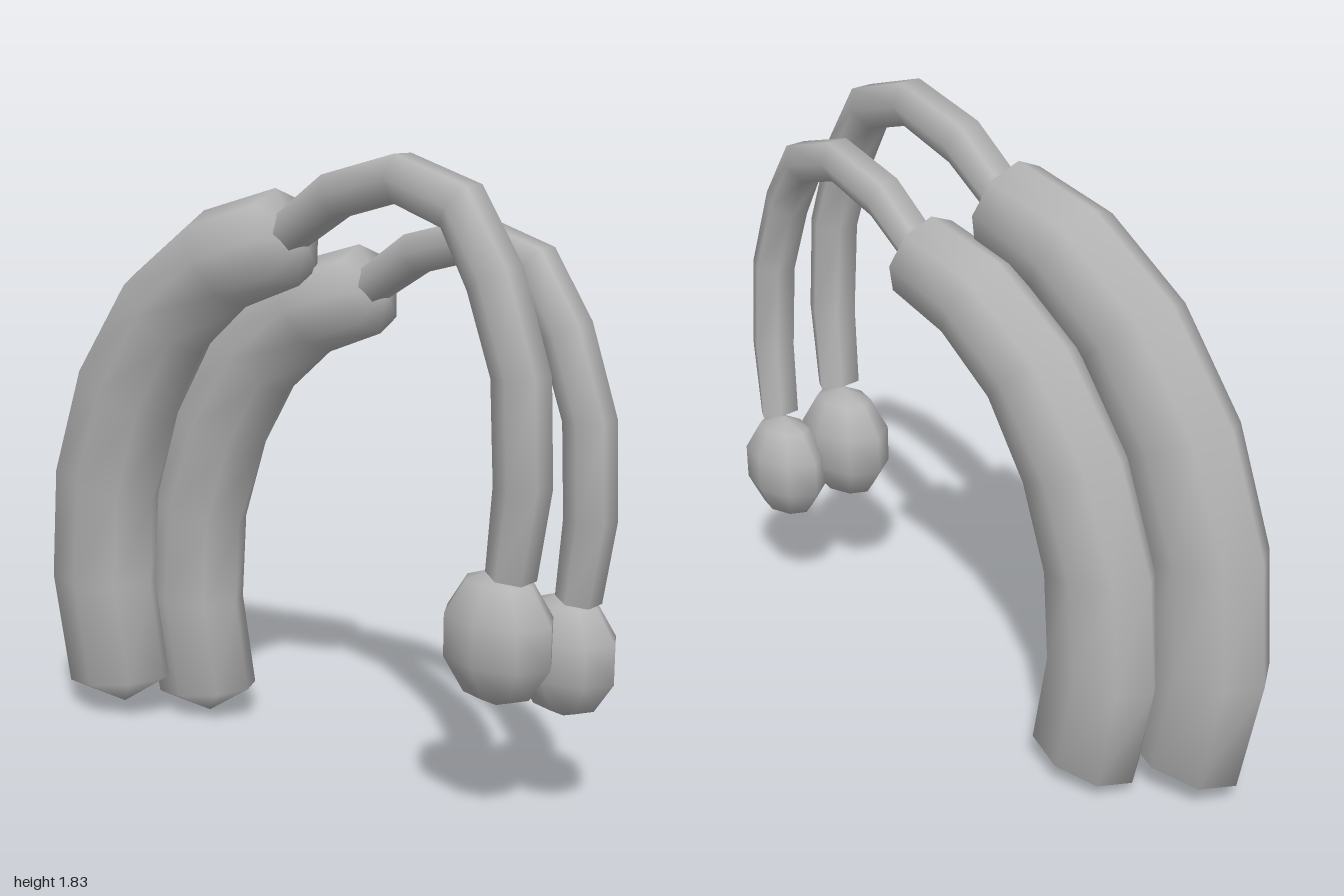
import * as THREE from 'three';
import { toCreasedNormals } from 'three/addons/utils/BufferGeometryUtils.js';

// Skin a row of cross-sections. Each ring: [outerZ, outerY, innerZ, innerY, x, halfWidth].
// Caps are fans to the points start and end, given as [x, y, z].
function loft(rings, sides, start, end) {
  const pos = [], index = [];
  const stretch = 1 / Math.sin(Math.round(sides / 4) * 2 * Math.PI / sides);
  for (const [oz, oy, iz, iy, x, half] of rings) {
    for (let j = 0; j < sides; j++) {
      const a = (j / sides) * Math.PI * 2;
      const s = Math.sin(a) * stretch / 2;
      pos.push(x + Math.cos(a) * half, (oy + iy) / 2 + s * (oy - iy), (oz + iz) / 2 + s * (oz - iz));
    }
  }
  const last = (rings.length - 1) * sides;
  const first = rings.length * sides;
  pos.push(...start, ...end);
  for (let j = 0; j < sides; j++) {
    const k = (j + 1) % sides;
    for (let b = 0; b < last; b += sides) {
      index.push(b + j, b + sides + j, b + k, b + k, b + sides + j, b + sides + k);
    }
    index.push(first, j, k, first + 1, last + k, last + j);
  }
  const geo = new THREE.BufferGeometry();
  geo.setAttribute('position', new THREE.Float32BufferAttribute(pos, 3));
  geo.setIndex(index);
  geo.computeVertexNormals();
  return geo;
}

export function createModel() {
  const grey = new THREE.MeshStandardMaterial({ color: 0xb4b4b4 });
  grey.name = 'grey plastic';

  // Curved casing, from its front end down to the bottom
  const casing = loft([
    [0.10, 1.56, 0.18, 1.31, 0.11, 0.125],
    [-0.15, 1.49, 0.0, 1.24, 0.10, 0.13],
    [-0.40, 1.31, -0.16, 1.10, 0.09, 0.13],
    [-0.60, 1.04, -0.28, 0.89, 0.085, 0.13],
    [-0.72, 0.72, -0.36, 0.65, 0.085, 0.13],
    [-0.755, 0.38, -0.38, 0.39, 0.09, 0.13],
    [-0.70, 0.05, -0.34, 0.11, 0.10, 0.13],
  ], 8, [0.11, 1.43, 0.2], [0.10, 0, -0.51]);

  // Thin tube, from the ear tip up and over to the casing
  const tube = toCreasedNormals(loft([
    [0.95, 0.66, 0.845, 0.68, 0.065, 0.068],
    [1.0, 0.90, 0.875, 0.90, 0.045, 0.068],
    [1.0, 1.17, 0.875, 1.16, 0.025, 0.068],
    [0.92, 1.42, 0.81, 1.36, 0.015, 0.068],
    [0.79, 1.60, 0.72, 1.50, 0.03, 0.068],
    [0.56, 1.665, 0.55, 1.55, 0.055, 0.068],
    [0.31, 1.605, 0.35, 1.50, 0.08, 0.068],
    [0.16, 1.51, 0.19, 1.41, 0.10, 0.068],
    [0.08, 1.46, 0.11, 1.36, 0.11, 0.06],
  ], 6, [0.065, 0.67, 0.8975], [0.11, 1.41, 0.095]), 1.2);

  // Egg-shaped ear tip
  const tip = new THREE.SphereGeometry(1, 8, 5);
  tip.scale(0.115, 0.178, 0.162);
  tip.translate(0.09, 0.5, 0.847);

  const model = new THREE.Group();
  model.name = 'hearingAids';
  const addAid = (name, scale, x, y, z) => {
    const aid = new THREE.Group();
    aid.name = name;
    for (const [part, geo] of [['casing', casing], ['tube', tube], ['earTip', tip]]) {
      const mesh = new THREE.Mesh(geo, grey);
      mesh.name = part;
      aid.add(mesh);
    }
    aid.scale.setScalar(scale);
    aid.position.set(x, y, z);
    model.add(aid);
  };
  addAid('leftAid', 1, 0, 0, 0);
  addAid('rightAid', 1.087, -0.179, 0.025, -0.179);
  return model;
}
